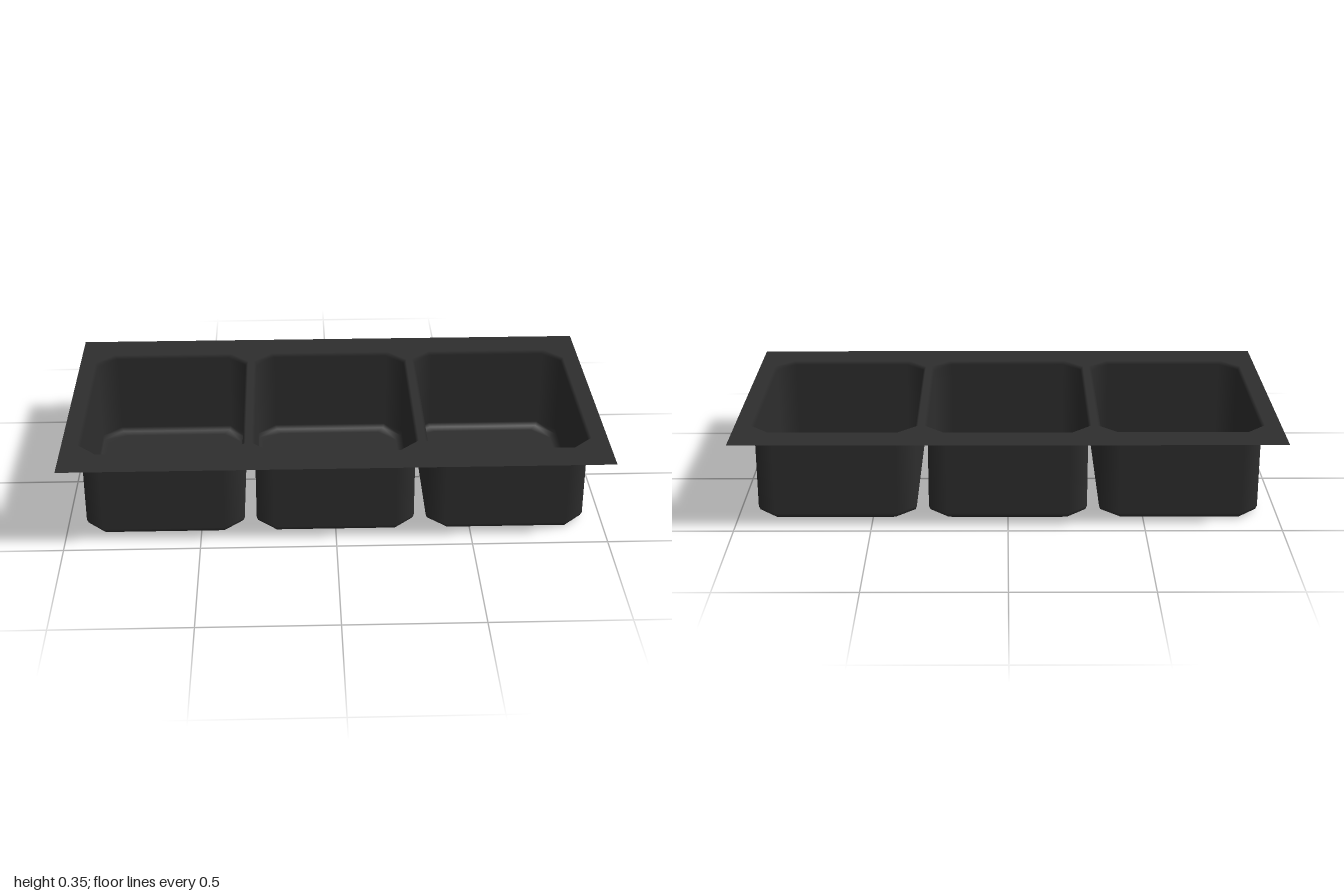
import * as THREE from 'three';

const TOP = 0.35;
const HALF_X = 1, HALF_Z = 0.54;
const LIP = { w: 0.305, d: 0.41, c: 0.07 };

// Rectangle outline with cut corners: [x, z] pairs running from +x towards +z
function outline({ w, d, c }) {
  return [
    [w, c - d], [w, d - c], [w - c, d], [c - w, d],
    [-w, d - c], [-w, c - d], [c - w, -d], [w - c, -d],
  ];
}

// Tub shell: stacked rings, smooth across corners and the rounded bottom edge
function tubGeometry() {
  const rings = [
    { ...LIP, y: TOP, tilt: -1 },
    { w: 0.295, d: 0.4, c: 0.07, y: TOP - 0.012, tilt: 0 },
    { w: 0.295, d: 0.4, c: 0.07, y: 0.026, tilt: 0 },
    { w: 0.29, d: 0.393, c: 0.07, y: 0.01, tilt: -0.5 },
    { w: 0.27, d: 0.373, c: 0.07, y: 0, tilt: -1 },
  ];
  const sides = [[1, 0], [0, 1], [-1, 0], [0, -1]];
  const position = [], normal = [], index = [];
  rings.forEach((ring, r) => {
    outline(ring).forEach(([x, z], i) => {
      const [sx, sz] = sides[i >> 1];
      const n = new THREE.Vector3(sx, 0, sz).multiplyScalar(1 + ring.tilt);
      n.y = ring.tilt;
      n.normalize();
      position.push(x, ring.y, z);
      normal.push(n.x, n.y, n.z);
      if (r === 0) return;
      const a = (r - 1) * 8 + i, b = (r - 1) * 8 + (i + 1) % 8;
      index.push(a, b, b + 8, a, b + 8, a + 8);
    });
  });
  // Floor
  const f = (rings.length - 1) * 8;
  for (let i = 1; i < 7; i++) index.push(f, f + i, f + i + 1);

  const geometry = new THREE.BufferGeometry();
  geometry.setAttribute('position', new THREE.Float32BufferAttribute(position, 3));
  geometry.setAttribute('normal', new THREE.Float32BufferAttribute(normal, 3));
  geometry.setIndex(index);
  return geometry;
}

export function createModel() {
  const model = new THREE.Group();
  model.name = 'threeTubTray';
  const charcoal = new THREE.MeshStandardMaterial({ color: 0x2e2e2e, side: THREE.DoubleSide });
  charcoal.name = 'charcoal';

  const centres = [-0.635, 0, 0.635];

  // Flat top sheet with an opening for each tub
  const sheet = new THREE.Shape([
    new THREE.Vector2(-HALF_X, -HALF_Z), new THREE.Vector2(HALF_X, -HALF_Z),
    new THREE.Vector2(HALF_X, HALF_Z), new THREE.Vector2(-HALF_X, HALF_Z),
  ]);
  for (const cx of centres) {
    sheet.holes.push(new THREE.Path(outline(LIP).map(([x, z]) => new THREE.Vector2(cx + x, z)).reverse()));
  }
  const rim = new THREE.Mesh(new THREE.ShapeGeometry(sheet).rotateX(-Math.PI / 2), charcoal);
  rim.name = 'topSheet';
  rim.position.y = TOP;
  model.add(rim);

  // Three identical tubs
  const geometry = tubGeometry();
  ['rightTub', 'middleTub', 'leftTub'].forEach((name, i) => {
    const tub = new THREE.Mesh(geometry, charcoal);
    tub.name = name;
    tub.position.x = centres[i];
    model.add(tub);
  });

  return model;
}
